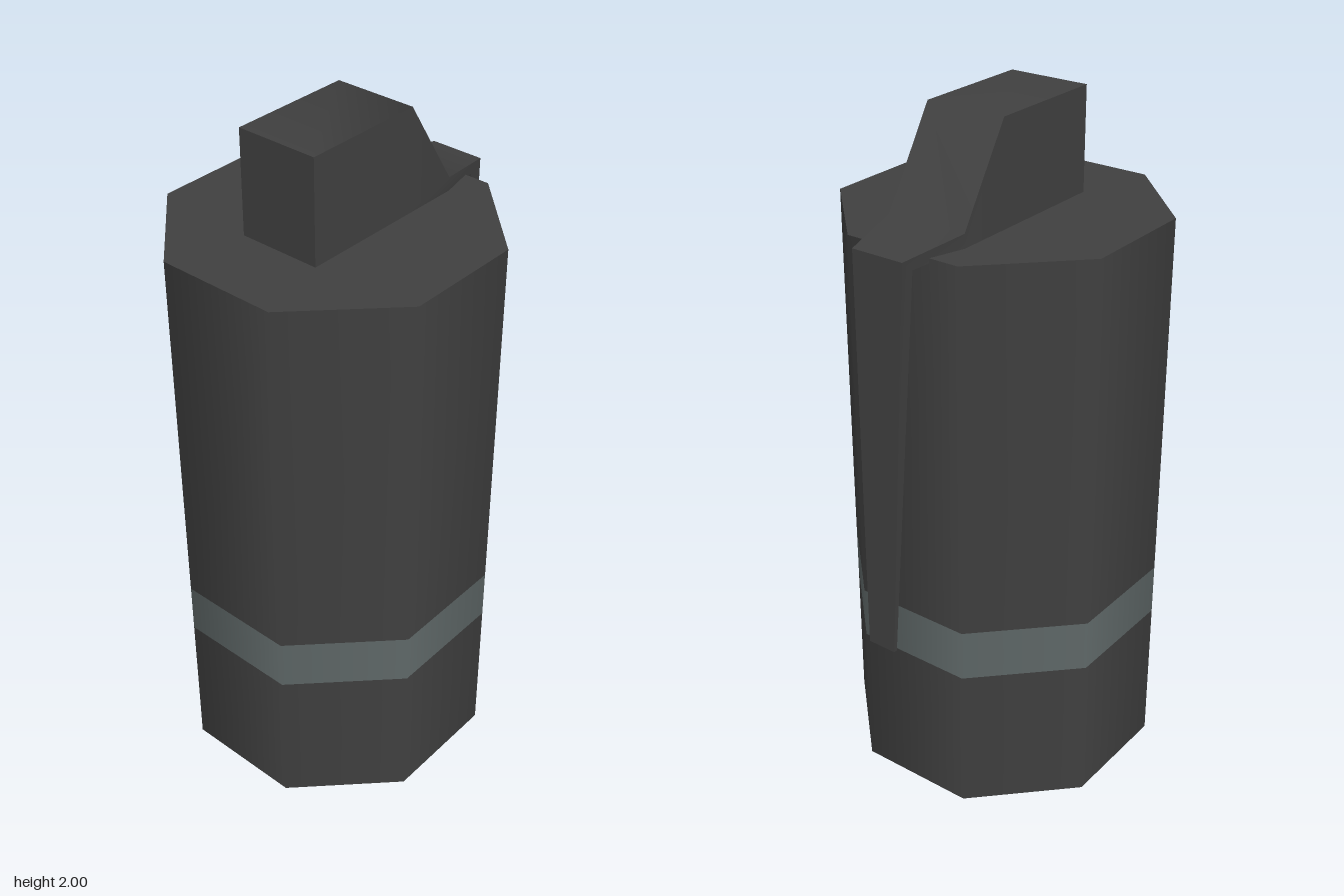
import * as THREE from 'three';
import { toCreasedNormals } from 'three/addons/utils/BufferGeometryUtils.js';

const R = 0.468, CX = -0.064, TOP = 1.7;

export function createModel() {
  const group = new THREE.Group();
  const casing = new THREE.MeshStandardMaterial({ color: 0x404040 });
  casing.name = 'darkCasing';
  const stripe = new THREE.MeshStandardMaterial({ color: 0x5f6868 });
  stripe.name = 'greyStripe';

  const add = (name, geometry, material) => {
    const mesh = new THREE.Mesh(geometry, material);
    mesh.name = name;
    group.add(mesh);
    return mesh;
  };

  // Smooth-shaded octagonal wall, split where the painted band runs
  const wall = (name, y0, y1, material) => {
    const g = new THREE.CylinderGeometry(R, R, y1 - y0, 8, 1, true, Math.PI / 8);
    add(name, g, material).position.set(CX, (y0 + y1) / 2, 0);
  };
  wall('lowerBody', 0, 0.445, casing);
  wall('paintedBand', 0.445, 0.6, stripe);
  wall('upperBody', 0.6, TOP, casing);

  // Flat ends
  for (const [name, y, turn] of [['bodyTop', TOP, -1], ['bodyBottom', 0, 1]]) {
    const g = new THREE.CircleGeometry(R, 8, Math.PI / 8).rotateX(turn * Math.PI / 2);
    add(name, g, casing).position.set(CX, y, 0);
  }

  // Fuse head running into the safety lever, lofted from rectangular sections:
  // outer x, outer y, inner x, inner y, half width, z centre
  const sections = [
    [-0.27, 2, -0.27, 1.7, 0.123, 0.002],
    [0.1, 2, 0.1, 1.7, 0.123, 0.002],
    [0.265, 1.74, 0.265, 1.7, 0.123, 0.002],
    [0.455, 1.712, 0.416, 1.68, 0.081, 0.006],
    [0.495, 0.55, 0.484, 0.55, 0.045, 0.006],
  ];
  const points = [], index = [0, 1, 2, 0, 2, 3];
  sections.forEach(([ox, oy, ix, iy, w, z], s) => {
    points.push(ox, oy, z + w, ox, oy, z - w, ix, iy, z - w, ix, iy, z + w);
    if (s === 0) return;
    const a = (s - 1) * 4, b = s * 4;
    for (let i = 0; i < 4; i++) {
      const j = (i + 1) % 4;
      index.push(a + i, b + i, b + j, a + i, b + j, a + j);
    }
  });
  const e = (sections.length - 1) * 4;
  index.push(e, e + 2, e + 1, e, e + 3, e + 2);
  const lever = new THREE.BufferGeometry();
  lever.setAttribute('position', new THREE.Float32BufferAttribute(points, 3));
  lever.setIndex(index);
  add('fuseHeadAndLever', toCreasedNormals(lever, Math.PI / 3), casing);

  return group;
}
